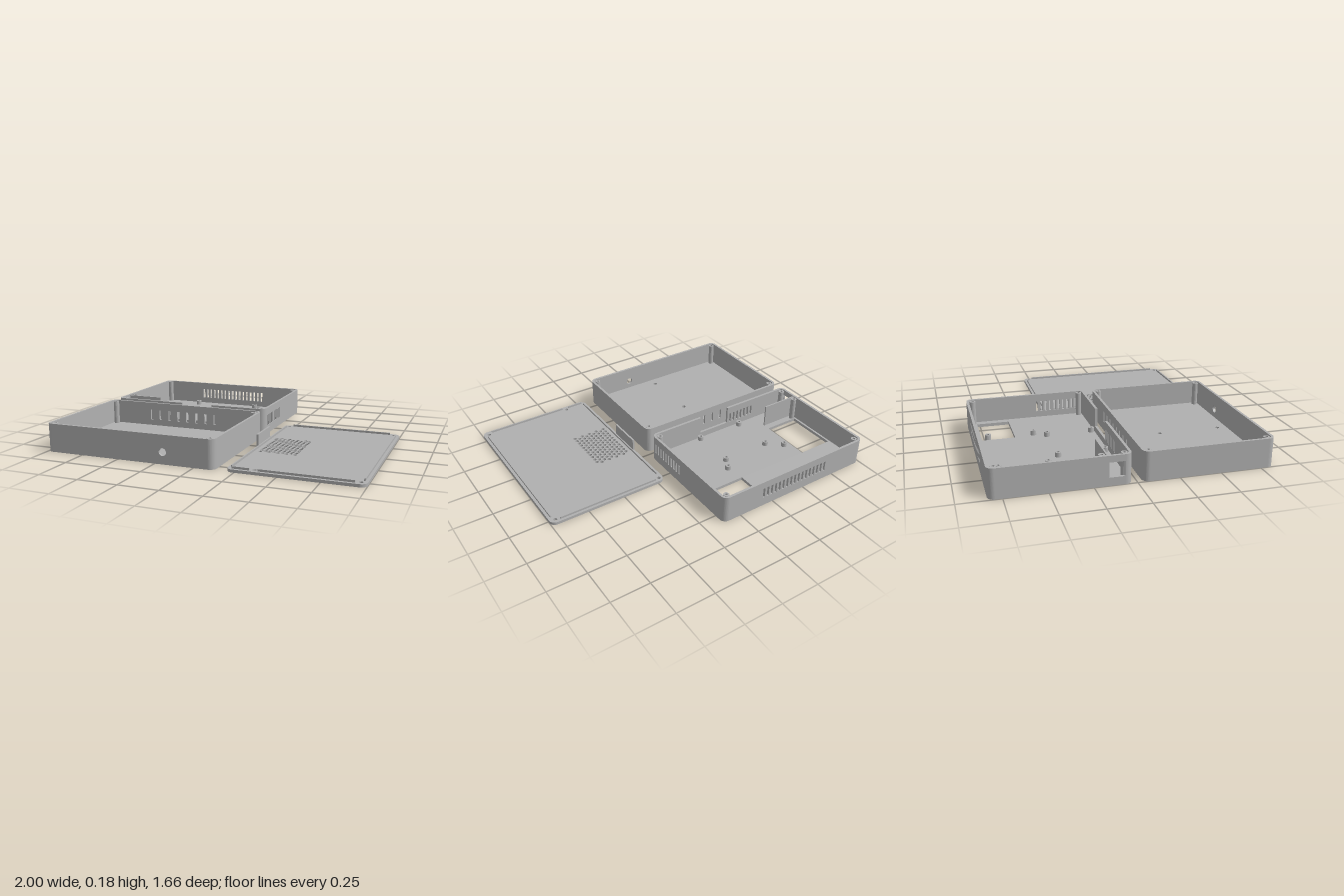
import * as THREE from 'three';

const H = 0.18, FLOOR = 0.02, WALL = 0.016, R = 0.04;
const casing = new THREE.MeshStandardMaterial({ color: 0xb0b0b0 });
casing.name = 'casing grey';

function add(parent, geometry, name) {
  const mesh = new THREE.Mesh(geometry, casing);
  mesh.name = name;
  parent.add(mesh);
  return mesh;
}

const polygon = (pts) => new THREE.Shape(pts.map(([x, y]) => new THREE.Vector2(x, y)));
const rect = (a, b, c, d) => polygon([[a, c], [b, c], [b, d], [a, d]]);
const disc = (x, y, r) => new THREE.Shape().absarc(x, y, r, 0, Math.PI * 2);

function roundedRect(x0, x1, z0, z1, r) {
  const s = new THREE.Shape();
  s.absarc(x1 - r, z1 - r, r, 0, Math.PI / 2);
  s.absarc(x0 + r, z1 - r, r, Math.PI / 2, Math.PI);
  s.absarc(x0 + r, z0 + r, r, Math.PI, Math.PI * 1.5);
  s.absarc(x1 - r, z0 + r, r, Math.PI * 1.5, Math.PI * 2);
  return s;
}

const extrude = (shape, depth, curveSegments = 8) =>
  new THREE.ExtrudeGeometry(shape, { depth, bevelEnabled: false, curveSegments });

// Horizontal slab from y0 to y1; shape coordinates are x and z
function slab(shape, y0, y1, segments) {
  return extrude(shape, y1 - y0, segments).rotateX(Math.PI / 2).translate(0, y1, 0);
}

// Hollow screw post
function post(parent, x, z, y0, y1, name) {
  const s = disc(x, z, 0.019);
  s.holes.push(disc(x, z, 0.009));
  add(parent, slab(s, y0, y1), name);
}

// Evenly spaced ventilation slots
function slots(first, step, count, width = 0.015, y0 = 0.06, y1 = 0.13) {
  return Array.from({ length: count }, (_, i) => {
    const u = first + i * step;
    return rect(u - width / 2, u + width / 2, y0, y1);
  });
}

// Straight wall outline with openings and an optional notch in its top edge
function wallShape(a, b, holes = [], notch) {
  const pts = [[a, FLOOR], [b, FLOOR], [b, H]];
  if (notch) {
    const [n0, n1, y] = notch;
    pts.push([n1, H], [n1, y], [n0, y], [n0, H]);
  }
  pts.push([a, H]);
  const s = polygon(pts);
  s.holes.push(...holes);
  return s;
}

// Open box with rounded corners and corner screw posts
function tray(name, z0, z1, floorHoles, walls) {
  const g = new THREE.Group();
  g.name = name;
  const x0 = -1, x1 = 0.13;
  const floor = roundedRect(x0, x1, z0, z1, R);
  floor.holes.push(...floorHoles);
  add(g, slab(floor, 0, FLOOR), 'floor');

  add(g, extrude(wallShape(x0 + R, x1 - R, walls.back), WALL).translate(0, 0, z0), 'backWall');
  add(g, extrude(wallShape(x0 + R, x1 - R, walls.front, walls.notch), WALL)
    .translate(0, 0, z1 - WALL), 'frontWall');
  add(g, extrude(wallShape(z0 + R, z1 - R, walls.left), WALL)
    .rotateY(-Math.PI / 2).translate(x1, 0, 0), 'leftWall');
  add(g, extrude(wallShape(z0 + R, z1 - R, walls.right), WALL)
    .rotateY(-Math.PI / 2).translate(x0 + WALL, 0, 0), 'rightWall');

  // Rounded corners, in turn around the box
  const corners = [[x1 - R, z1 - R], [x0 + R, z1 - R], [x0 + R, z0 + R], [x1 - R, z0 + R]];
  corners.forEach(([x, z], i) => {
    const a = i * Math.PI / 2, b = a + Math.PI / 2;
    const s = new THREE.Shape();
    s.absarc(x, z, R, a, b, false);
    s.absarc(x, z, R - WALL, b, a, true);
    add(g, slab(s, FLOOR, H), 'roundedCorner');
    post(g, x, z, FLOOR, H - 0.003, 'cornerPost');
  });
  return g;
}

function boardTray() {
  const g = tray('boardTray', -0.83, -0.03,
    [rect(-0.97, -0.73, -0.57, -0.22), rect(-0.22, 0.07, -0.77, -0.56)],
    {
      back: slots(-0.67, 0.031, 17),
      front: slots(-0.7, 0.031, 7),
      notch: [-0.49, -0.26, 0.06],
      left: slots(-0.355, 0.0302, 10),
      right: [rect(-0.165, -0.075, 0.05, 0.14)],
    });
  // Compartment divider and its screw post
  add(g, new THREE.BoxGeometry(0.255, H - FLOOR - 0.005, 0.01)
    .translate(-0.8575, (H + FLOOR - 0.005) / 2, -0.17), 'divider');
  post(g, -0.963, -0.2, FLOOR, H - 0.003, 'dividerPost');
  // Board standoffs
  for (const [xs, zs] of [[[-0.68, -0.2], [-0.73, -0.44]], [[-0.58, -0.245], [-0.36, -0.07]]])
    for (const x of xs) for (const z of zs) post(g, x, z, 0, 0.05, 'standoff');
  return g;
}

function plainTray() {
  return tray('plainTray', 0.03, 0.83,
    [disc(-0.39, 0.35, 0.014), disc(-0.39, 0.75, 0.014)],
    { back: slots(-0.688, 0.069, 8, 0.018), front: [disc(-0.197, 0.075, 0.024)] });
}

function lid() {
  const g = new THREE.Group();
  g.name = 'lid';
  const plate = roundedRect(0.2, 1, -0.3, 0.83, R);
  // Screw holes
  for (const [x, z] of [[0.23, -0.27], [0.963, -0.27], [0.963, 0.793], [0.36, 0.793]])
    plate.holes.push(disc(x, z, 0.013));
  // Staggered vent grid
  for (let c = 0; c < 9; c++)
    for (let r = 0; r < 11; r++)
      plate.holes.push(disc(0.26 + c * 0.0277, (c % 2 ? 0.082 : 0.098) + r * 0.032, 0.0128));
  add(g, slab(plate, 0, 0.018, 5), 'lidPlate');

  // Locating lip, broken at the screw holes
  for (const [a, b, c, d] of [
    [0.217, 0.225, -0.23, 0.79], [0.974, 0.982, -0.24, 0.765],
    [0.26, 0.935, -0.284, -0.276], [0.23, 0.335, 0.804, 0.812], [0.385, 0.935, 0.804, 0.812],
  ]) add(g, slab(rect(a, b, c, d), 0.018, 0.031), 'lip');

  // Upright tab that closes the notch
  add(g, slab(rect(0.198, 0.21, 0.085, 0.315), 0.005, 0.096), 'tab');
  return g;
}

export function createModel() {
  const model = new THREE.Group();
  model.name = 'enclosure';
  model.add(boardTray(), plainTray(), lid());
  return model;
}
